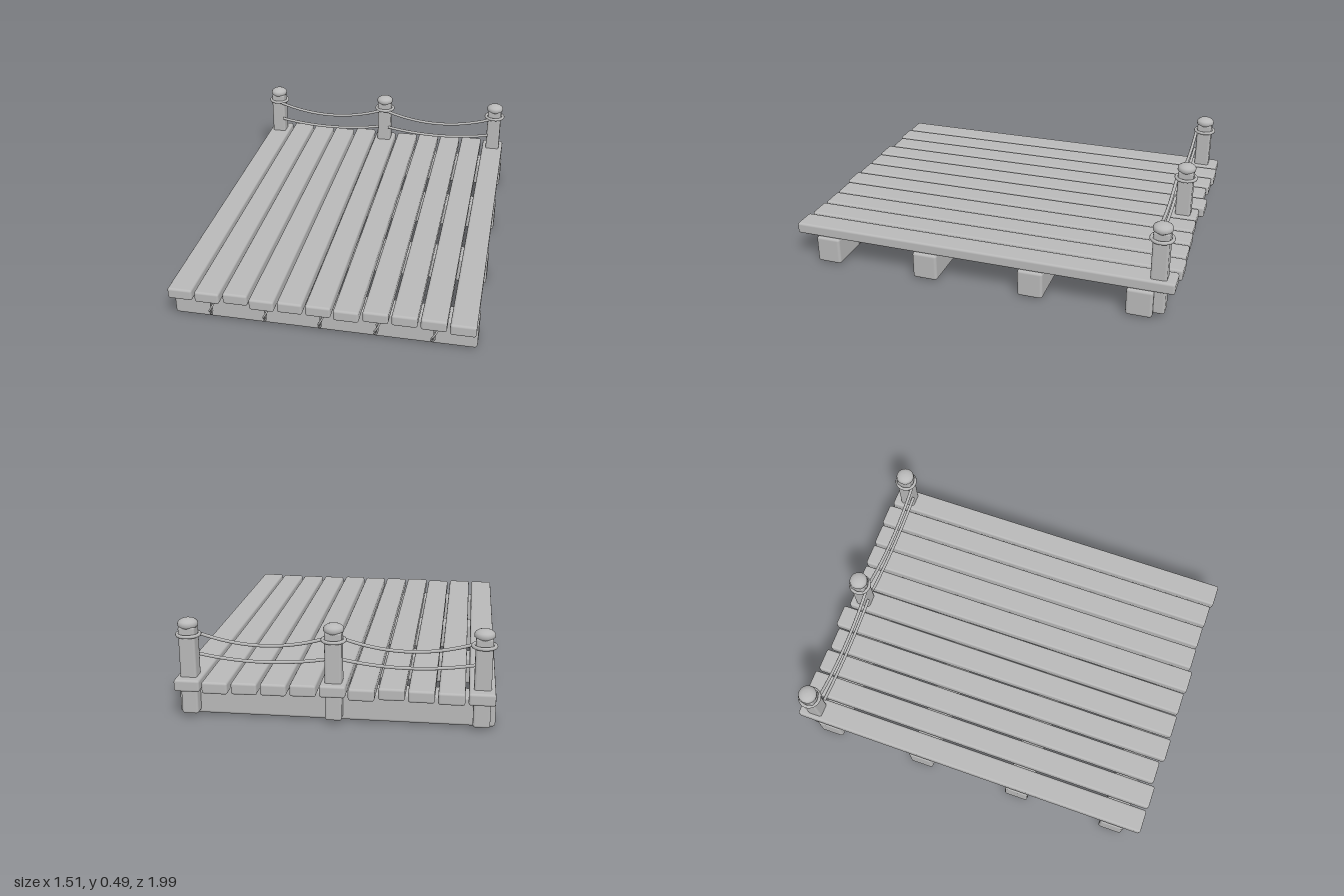
import * as THREE from 'three';
import { RoundedBoxGeometry } from 'three/addons/geometries/RoundedBoxGeometry.js';

const V = (x, y, z) => new THREE.Vector3(x, y, z);

export function createModel() {
  const dock = new THREE.Group();
  dock.name = 'dock';
  const grey = new THREE.MeshStandardMaterial({ color: 0xb8b8b8 });
  grey.name = 'weatheredGrey';

  function add(name, geometry, x = 0, y = 0, z = 0) {
    const mesh = new THREE.Mesh(geometry, grey);
    mesh.name = name;
    mesh.position.set(x, y, z);
    dock.add(mesh);
    return mesh;
  }
  const block = (w, h, d, r) => new RoundedBoxGeometry(w, h, d, 2, r);

  // Deck planks with uneven ends: [back z, front z]
  const ends = [
    [-0.99, 0.97], [-0.997, 0.975], [-0.987, 0.962], [-0.976, 0.985],
    [-1, 0.98], [-0.976, 0.98], [-0.98, 0.99], [-0.987, 0.975],
    [-0.99, 0.975], [-0.997, 0.98], [-0.984, 0.993],
  ];
  ends.forEach(([back, front], i) => {
    add('plank', block(0.123, 0.059, front - back, 0.012),
      (i - 5) * 0.1378, 0.174, (front + back) / 2);
  });

  // Cross beams under the deck
  for (const z of [-0.82, -0.278, 0.278, 0.82]) {
    add('beam', block(1.51, 0.143, 0.13, 0.014), 0, 0.0715, z);
  }

  // Posts with round caps and rope collars
  const capProfile = [
    [0, 0.438], [0.038, 0.438], [0.043, 0.446], [0.048, 0.451], [0.048, 0.464],
    [0.043, 0.472], [0.032, 0.48], [0.017, 0.485], [0, 0.486],
  ].map(([r, y]) => new THREE.Vector2(r, y));
  const postZ = -0.9;
  for (const x of [-0.69, 0, 0.69]) {
    add('post', block(0.08, 0.435, 0.08, 0.012), x, 0.2335, postZ);
    add('postCap', new THREE.LatheGeometry(capProfile, 24), x, 0, postZ);
    const collar = new THREE.TorusGeometry(0.052, 0.009, 8, 28);
    collar.rotateX(Math.PI / 2);
    add('ropeCollar', collar, x, 0.406, postZ);
  }

  // Sagging rails between neighbouring posts
  function rail(name, x0, x1, y, sag) {
    const points = [];
    for (let i = 0; i <= 12; i++) {
      const t = i / 12;
      points.push(V(x0 + (x1 - x0) * t, y - sag * 4 * t * (1 - t), -0.855));
    }
    add(name, new THREE.TubeGeometry(new THREE.CatmullRomCurve3(points), 32, 0.0085, 8));
  }
  for (const side of [-1, 1]) {
    rail('upperRope', side * 0.01, side * 0.68, 0.407, 0.061);
    rail('lowerRope', side * 0.03, side * 0.658, 0.294, 0.03);
  }

  // Slanted two-strand rope loops around the front beam
  function strand(phase) {
    const points = [];
    for (let i = 0; i < 64; i++) {
      const a = (i / 64) * Math.PI * 2;
      const twist = a * 4 + phase;
      const out = 0.006 * Math.cos(twist);
      const y = (0.074 + out) * Math.sin(a);
      points.push(V(0.22 * y + 0.007 * Math.sin(twist), y, (0.1 + out) * Math.cos(a)));
    }
    return new THREE.TubeGeometry(new THREE.CatmullRomCurve3(points, true), 96, 0.005, 6, true);
  }
  const strands = [strand(0), strand(Math.PI)];
  for (let i = -2; i <= 2; i++) {
    for (const geometry of strands) add('ropeLoop', geometry, i * 0.276, 0.08, 0.82);
  }

  return dock;
}
